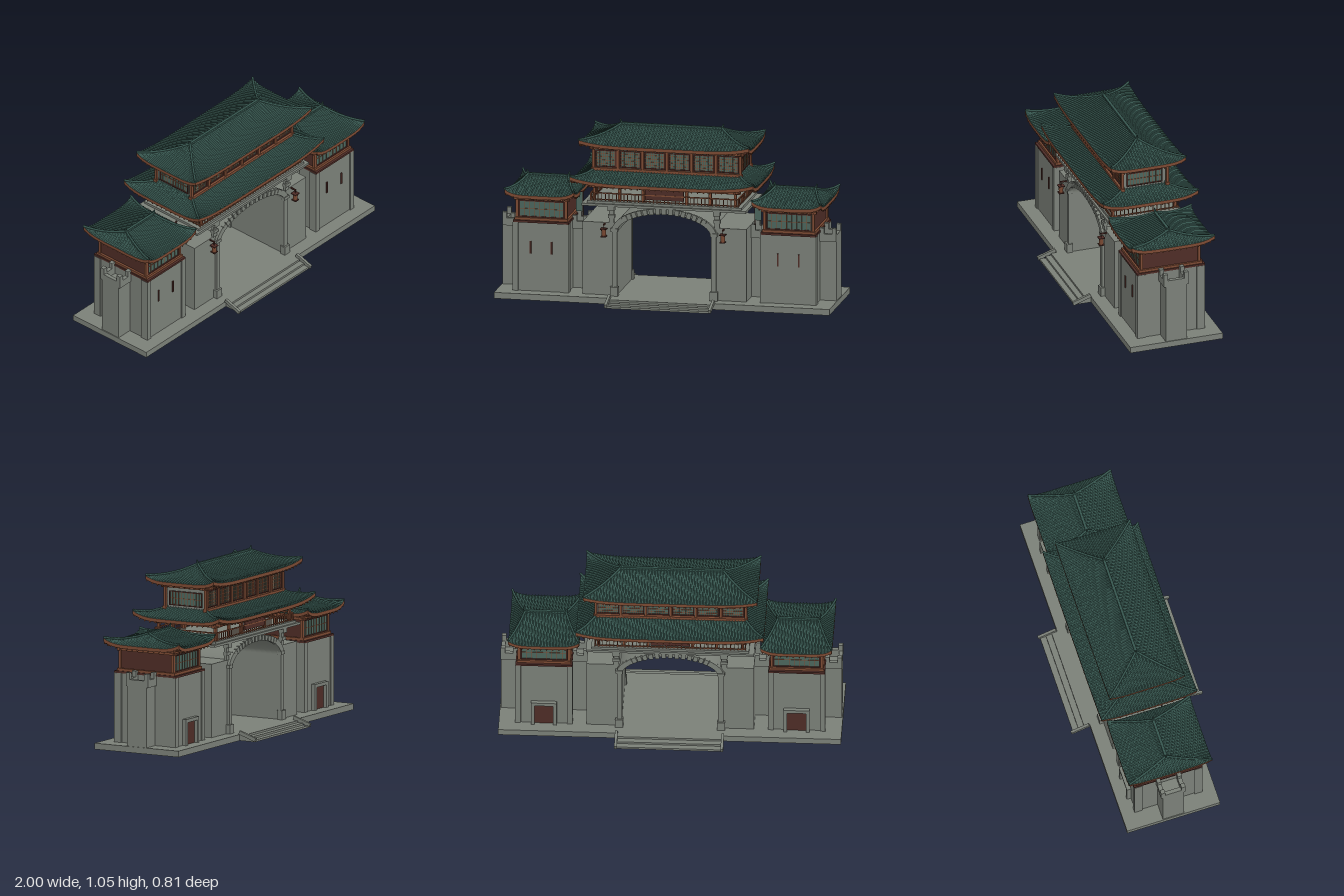
import * as THREE from 'three';
import { mergeGeometries } from 'three/addons/utils/BufferGeometryUtils.js';

const mat = (name, color, side = THREE.FrontSide) => {
  const m = new THREE.MeshStandardMaterial({ color, side });
  m.name = name;
  return m;
};
const stone = mat('grey stone', 0x7b8078);
const tile = mat('green roof tile', 0x35544d, THREE.DoubleSide);
const wood = mat('brown wood', 0x7c4a33, THREE.DoubleSide);
const darkRed = mat('dark red wood', 0x4e2c26, THREE.DoubleSide);
const glass = mat('teal pane', 0x4c665d, THREE.DoubleSide);

function add(parent, name, geo, material) {
  const m = new THREE.Mesh(geo, material);
  m.name = name;
  parent.add(m);
  return m;
}

// One mesh from a list of boxes given as [x0, x1, y0, y1, z0, z1]
function boxes(parent, name, material, list) {
  const geos = list.map(([x0, x1, y0, y1, z0, z1]) =>
    new THREE.BoxGeometry(Math.abs(x1 - x0), y1 - y0, Math.abs(z1 - z0))
      .translate((x0 + x1) / 2, (y0 + y1) / 2, (z0 + z1) / 2));
  return add(parent, name, mergeGeometries(geos), material);
}
const flipX = (l) => l.concat(l.map(([a, b, c, d, e, f]) => [-b, -a, c, d, e, f]));
const flipZ = (l) => l.concat(l.map(([a, b, c, d, e, f]) => [a, b, c, d, -f, -e]));
const four = (l) => flipX(flipZ(l));

// Grid surface from f(u, v) -> [x, y, z]
function grid(f, nu, nv, flip = false) {
  const pos = [], idx = [];
  for (let j = 0; j <= nv; j++) for (let i = 0; i <= nu; i++) pos.push(...f(i / nu, j / nv));
  for (let j = 0; j < nv; j++) for (let i = 0; i < nu; i++) {
    const a = j * (nu + 1) + i, b = a + 1, c = a + nu + 1, d = c + 1;
    if (flip) idx.push(a, d, b, a, c, d); else idx.push(a, b, d, a, d, c);
  }
  const g = new THREE.BufferGeometry();
  g.setAttribute('position', new THREE.Float32BufferAttribute(pos, 3));
  g.setIndex(idx);
  g.computeVertexNormals();
  return g;
}

// Curved hip roof: eave half sizes a, b; top half sizes at, bt
function roof(parent, name, { a, b, at, bt, y0, h, lift, ridge = true }) {
  const g = new THREE.Group();
  g.name = name;
  parent.add(g);
  const thick = 0.02, mix = THREE.MathUtils.lerp;
  const point = (side, s, t, off) => {
    const A = mix(a, at, t), B = mix(b, bt, t);
    const y = y0 + h * (0.45 * t + 0.55 * t * t) + lift * Math.abs(s) ** 5 * (1 - t) ** 2 + off;
    return [[s * A, y, B], [A, y, -s * B], [-s * A, y, -B], [-A, y, s * B]][side];
  };
  const tops = [], soffits = [], edges = [], ribs = [], rafters = [];
  for (let k = 0; k < 4; k++) {
    tops.push(grid((u, v) => point(k, 2 * u - 1, v, 0), 24, 8));
    soffits.push(grid((u, v) => point(k, 2 * u - 1, v, -thick), 24, 8, true));
    edges.push(grid((u, v) => point(k, 2 * u - 1, 0, thick * (v - 1)), 24, 1));
    const [w0, w1] = k % 2 ? [b, bt] : [a, at];
    const strip = (p, half, off, rise, tMax, flip) => {
      const end = Math.min(tMax, (w0 - Math.abs(p)) / (w0 - w1));
      return grid((u, v) => {
        const t = v * end, W = Math.max(1e-6, mix(w0, w1, t));
        const s = THREE.MathUtils.clamp((p + (2 * u - 1) * half) / W, -1, 1);
        return point(k, s, t, off + (u === 0.5 ? rise : 0));
      }, 2, 6, flip);
    };
    const n = Math.round(2 * w0 / 0.018);
    for (let i = 0; i < n; i++) {
      const p = -w0 + (i + 0.5) * 2 * w0 / n;
      ribs.push(strip(p, 0.0045, 0.0005, 0.007, 1, false));
      if (i % 2 === 0) rafters.push(strip(p, 0.006, -thick, -0.01, 0.6, true));
    }
  }
  add(g, 'roofSurface', mergeGeometries(tops), tile);
  add(g, 'tileRibs', mergeGeometries(ribs), tile);
  add(g, 'soffit', mergeGeometries(soffits), darkRed);
  add(g, 'eaveFascia', mergeGeometries(edges), wood);
  add(g, 'rafters', mergeGeometries(rafters), wood);
  // Hip ridges along the four corners
  const hips = [0, 1, 2, 3].map((k) => {
    const pts = [];
    for (let i = 0; i <= 8; i++) pts.push(new THREE.Vector3(...point(k, 1, i / 8, 0.005)));
    return new THREE.TubeGeometry(new THREE.CatmullRomCurve3(pts), 12, 0.007, 6);
  });
  add(g, 'hipRidges', mergeGeometries(hips), tile);
  if (ridge) {
    boxes(g, 'mainRidge', tile, [[-at, at, y0 + h - 0.008, y0 + h + 0.01, -0.008, 0.008]]);
    for (const s of [-1, 1]) {
      const horn = add(g, 'ridgeHorn', new THREE.CylinderGeometry(0.004, 0.009, 0.035, 6), tile);
      horn.position.set(s * (at + 0.004), y0 + h + 0.012, 0);
      horn.rotation.z = -s * 0.4;
    }
  }
  return g;
}

// Framed lattice window facing +z, centred on its own origin
function latticeWindow(parent, w, h, cols, rows, x, y, z, turn = 0) {
  const g = new THREE.Group();
  g.name = 'latticeWindow';
  g.position.set(x, y, z);
  g.rotation.y = turn;
  parent.add(g);
  boxes(g, 'pane', glass, [[-w / 2, w / 2, -h / 2, h / 2, 0, 0.004]]);
  const f = 0.006, X = w / 2, Y = h / 2, bars = [];
  for (let i = 1; i < cols; i++) bars.push([-X + i * w / cols - 0.0012, -X + i * w / cols + 0.0012, -Y, Y, 0, 0.007]);
  for (let i = 1; i < rows; i++) bars.push([-X, X, -Y + i * h / rows - 0.0012, -Y + i * h / rows + 0.0012, 0, 0.007]);
  boxes(g, 'lattice', wood, bars);
  boxes(g, 'frame', darkRed, [...flipX([[X - f, X, -Y, Y, 0, 0.01]]), [-X, X, Y - f, Y, 0, 0.01], [-X, X, -Y, -Y + f, 0, 0.01]]);
}

// Small lattice wall building on top of a side tower, centred on x = 0
function towerHouse(parent) {
  boxes(parent, 'houseFloor', darkRed, [[-0.165, 0.165, 0.445, 0.457, -0.21, 0.21]]);
  boxes(parent, 'houseSill', wood, [[-0.158, 0.158, 0.457, 0.472, -0.195, 0.195]]);
  boxes(parent, 'houseWalls', darkRed, [[-0.145, 0.145, 0.47, 0.615, -0.175, 0.175]]);
  boxes(parent, 'housePosts', wood, four([[0.138, 0.154, 0.457, 0.6, 0.17, 0.186]]));
  boxes(parent, 'houseBeams', wood, [...flipZ([[-0.165, 0.165, 0.577, 0.592, 0.172, 0.19]]), ...flipX([[0.142, 0.158, 0.577, 0.592, -0.195, 0.195]])]);
  latticeWindow(parent, 0.27, 0.1, 9, 2, 0, 0.523, 0.175);
  latticeWindow(parent, 0.27, 0.1, 9, 2, 0, 0.523, -0.175, Math.PI);
  const brackets = [];
  for (let i = -3; i <= 3; i++) brackets.push([i * 0.045 - 0.007, i * 0.045 + 0.007, 0.588, 0.606, 0.17, 0.215]);
  boxes(parent, 'houseBrackets', wood, flipZ(brackets));
  roof(parent, 'towerRoof', { a: 0.207, b: 0.255, at: 0.118, bt: 0, y0: 0.618, h: 0.068, lift: 0.032 });
}

function sideTower(parent, s) {
  const g = new THREE.Group();
  g.name = s > 0 ? 'leftTower' : 'rightTower';
  g.position.x = s * 0.737;
  parent.add(g);
  boxes(g, 'towerBody', stone, [[-0.16, 0.16, 0.03, 0.445, -0.2, 0.2]]);
  boxes(g, 'cornerPilasters', stone, four([[0.135, 0.167, 0.03, 0.445, 0.16, 0.208]]));
  towerHouse(g);
  boxes(g, 'arrowSlits', darkRed, flipX([[0.058, 0.067, 0.26, 0.335, 0.2, 0.206]]));
  // Rear doorway with stone surround
  boxes(g, 'doorSurround', stone, [...flipX([[0.055, 0.075, 0.03, 0.19, -0.225, -0.2]]), [-0.075, 0.075, 0.17, 0.19, -0.225, -0.2]]);
  boxes(g, 'rearDoor', darkRed, [[-0.055, 0.055, 0.035, 0.17, -0.205, -0.199]]);
  // Low battlement walls on the outer end and towards the gate
  const wall = (x0, x1) => {
    boxes(g, 'battlementWall', stone, [[x0, x1, 0.03, 0.39, -0.065, 0.065]]);
    const e = 0.026;
    boxes(g, 'merlons', stone, flipZ([[x0, x1, 0.39, 0.435, 0.05, 0.075],
      [x0, x0 + e, 0.435, 0.47, 0.05, 0.075], [x1 - e, x1, 0.435, 0.47, 0.05, 0.075]]));
  };
  const outer = [0.16, 0.258], inner = [-0.25, -0.16];
  for (const [p, q] of [outer, inner]) s > 0 ? wall(p, q) : wall(-q, -p);
  boxes(g, 'endParapet', stone, [[s * 0.258, s * 0.235, 0.39, 0.43, -0.06, 0.06]]);
  // Hanging banner beside the house
  boxes(g, 'banner', glass, [[-s * 0.185, -s * 0.222, 0.5, 0.615, 0.083, 0.087]]);
  boxes(g, 'bannerPole', darkRed, [[-s * 0.222, -s * 0.227, 0.47, 0.625, 0.082, 0.088], [-s * 0.14, -s * 0.23, 0.615, 0.62, 0.082, 0.088]]);
}

function gate(parent) {
  const g = new THREE.Group();
  g.name = 'gate';
  parent.add(g);
  boxes(g, 'gatePiers', stone, flipX([[0.285, 0.488, 0.03, 0.47, -0.205, 0.205]]));
  boxes(g, 'archColumns', stone, four([[0.28, 0.31, 0.03, 0.44, 0.2, 0.22], [0.274, 0.32, 0.03, 0.09, 0.195, 0.23], [0.276, 0.318, 0.42, 0.44, 0.197, 0.226]]));
  boxes(g, 'corbels', stone, four([[0.3, 0.33, 0.47, 0.58, 0.195, 0.212], [0.295, 0.335, 0.5, 0.52, 0.195, 0.22], [0.295, 0.335, 0.545, 0.575, 0.195, 0.228]]));
  // Flattened vault
  const ring = new THREE.Shape();
  ring.absellipse(0, 0.42, 0.31, 0.148, 0, Math.PI, false);
  ring.lineTo(-0.28, 0.42);
  ring.absellipse(0, 0.42, 0.28, 0.118, Math.PI, 0, true);
  add(g, 'archVault', new THREE.ExtrudeGeometry(ring, { depth: 0.42, bevelEnabled: false, curveSegments: 32 }).translate(0, 0, -0.21), stone);
  const blocks = [];
  for (let i = 0; i <= 22; i++) {
    const t = Math.PI * (0.04 + 0.92 * i / 22);
    const turn = Math.atan2(Math.sin(t) / 0.133, Math.cos(t) / 0.295);
    for (const z of [-0.212, 0.212]) blocks.push(new THREE.BoxGeometry(0.034, 0.026, 0.02).rotateZ(turn)
      .translate(0.295 * Math.cos(t), 0.42 + 0.133 * Math.sin(t), z));
  }
  add(g, 'archBlocks', mergeGeometries(blocks), stone);
  boxes(g, 'platform', stone, [[-0.49, 0.49, 0.57, 0.584, -0.228, 0.228], [-0.46, 0.46, 0.584, 0.598, -0.215, 0.215]]);
  // Front lanterns
  for (const s of [-1, 1]) {
    boxes(g, 'lanternFrame', darkRed, [[s * 0.355 - 0.016, s * 0.355 + 0.016, 0.392, 0.398, 0.224, 0.256],
      [s * 0.355 - 0.018, s * 0.355 + 0.018, 0.436, 0.442, 0.222, 0.258], [s * 0.355 - 0.002, s * 0.355 + 0.002, 0.44, 0.465, 0.238, 0.242],
      [s * 0.355 - 0.003, s * 0.355 + 0.003, 0.46, 0.468, 0.2, 0.245]]);
    add(g, 'lanternBody', new THREE.CylinderGeometry(0.015, 0.013, 0.04, 8).translate(s * 0.355, 0.417, 0.24), wood);
  }
}

function pavilion(parent) {
  const g = new THREE.Group();
  g.name = 'pavilion';
  parent.add(g);
  // Open lower storey
  const posts = [0.13, 0.27, 0.42].map((x) => [x - 0.008, x + 0.008, 0.595, 0.7, 0.184, 0.2]);
  boxes(g, 'lowerPosts', wood, four(posts));
  boxes(g, 'lowerBeams', wood, [...flipZ([[-0.45, 0.45, 0.675, 0.693, 0.182, 0.202]]), ...flipX([[0.41, 0.43, 0.675, 0.693, -0.21, 0.21]])]);
  boxes(g, 'ceiling', darkRed, [[-0.45, 0.45, 0.693, 0.712, -0.21, 0.21]]);
  boxes(g, 'signPanel', darkRed, flipZ([[-0.115, 0.115, 0.618, 0.69, 0.2, 0.209]]));
  const rail = [...flipZ([[-0.44, 0.44, 0.642, 0.649, 0.203, 0.21], [-0.44, 0.44, 0.605, 0.61, 0.203, 0.21]]),
    ...flipX([[0.434, 0.441, 0.642, 0.649, -0.21, 0.21], [0.434, 0.441, 0.605, 0.61, -0.21, 0.21]])];
  for (let x = -0.44; x < 0.445; x += 0.022) rail.push(...flipZ([[x - 0.002, x + 0.002, 0.597, 0.645, 0.204, 0.208]]));
  for (let z = -0.2; z < 0.205; z += 0.025) rail.push(...flipX([[0.435, 0.439, 0.597, 0.645, z - 0.002, z + 0.002]]));
  boxes(g, 'balustrade', wood, rail);
  roof(g, 'lowerRoof', { a: 0.548, b: 0.293, at: 0.425, bt: 0.125, y0: 0.718, h: 0.058, lift: 0.035, ridge: false });
  // Upper storey with windows
  boxes(g, 'upperWalls', stone, [[-0.43, 0.43, 0.7, 0.935, -0.128, 0.128]]);
  const uprights = [];
  for (let i = 0; i <= 6; i++) uprights.push([-0.438 + i * 0.146 - 0.008, -0.438 + i * 0.146 + 0.008, 0.755, 0.915, 0.13, 0.146]);
  boxes(g, 'upperPosts', wood, flipZ(uprights));
  boxes(g, 'upperBeams', wood, [...flipZ([[-0.46, 0.46, 0.893, 0.912, 0.126, 0.152], [-0.45, 0.45, 0.765, 0.782, 0.126, 0.15]]),
    ...flipX([[0.425, 0.45, 0.893, 0.912, -0.16, 0.16]])]);
  for (let i = 0; i < 6; i++) for (const s of [-1, 1])
    latticeWindow(g, 0.126, 0.1, 10, 5, (i - 2.5) * 0.146, 0.836, s * 0.129, s > 0 ? 0 : Math.PI);
  for (const s of [-1, 1]) latticeWindow(g, 0.22, 0.085, 11, 2, s * 0.43, 0.83, 0, s * Math.PI / 2);
  // Eave brackets of both storeys
  const brackets = [];
  for (let i = -6; i <= 6; i++) brackets.push([i * 0.073 - 0.009, i * 0.073 + 0.009, 0.9, 0.918, 0.13, 0.185],
    [i * 0.073 - 0.009, i * 0.073 + 0.009, 0.685, 0.702, 0.19, 0.24]);
  boxes(g, 'eaveBrackets', wood, flipZ(brackets));
  roof(g, 'upperRoof', { a: 0.508, b: 0.23, at: 0.298, bt: 0, y0: 0.932, h: 0.085, lift: 0.028 });
}

export function createModel() {
  const model = new THREE.Group();
  model.name = 'gatehouse';
  boxes(model, 'baseSlab', stone, [[-1, 1, 0, 0.036, -0.285, 0.285]]);
  // Steps and sloping side rails, front and back
  boxes(model, 'steps', stone, flipZ([[-0.303, 0.303, 0, 0.036, 0.285, 0.32], [-0.303, 0.303, 0, 0.024, 0.32, 0.355], [-0.303, 0.303, 0, 0.012, 0.355, 0.39]]));
  for (const x of [-0.31, 0.31]) for (const s of [-1, 1]) {
    const rail = add(model, 'stepRail', new THREE.BoxGeometry(0.016, 0.022, 0.116), stone);
    rail.position.set(x, 0.032, s * 0.345);
    rail.rotation.x = s * 0.33;
  }
  gate(model);
  pavilion(model);
  for (const s of [-1, 1]) sideTower(model, s);
  return model;
}
